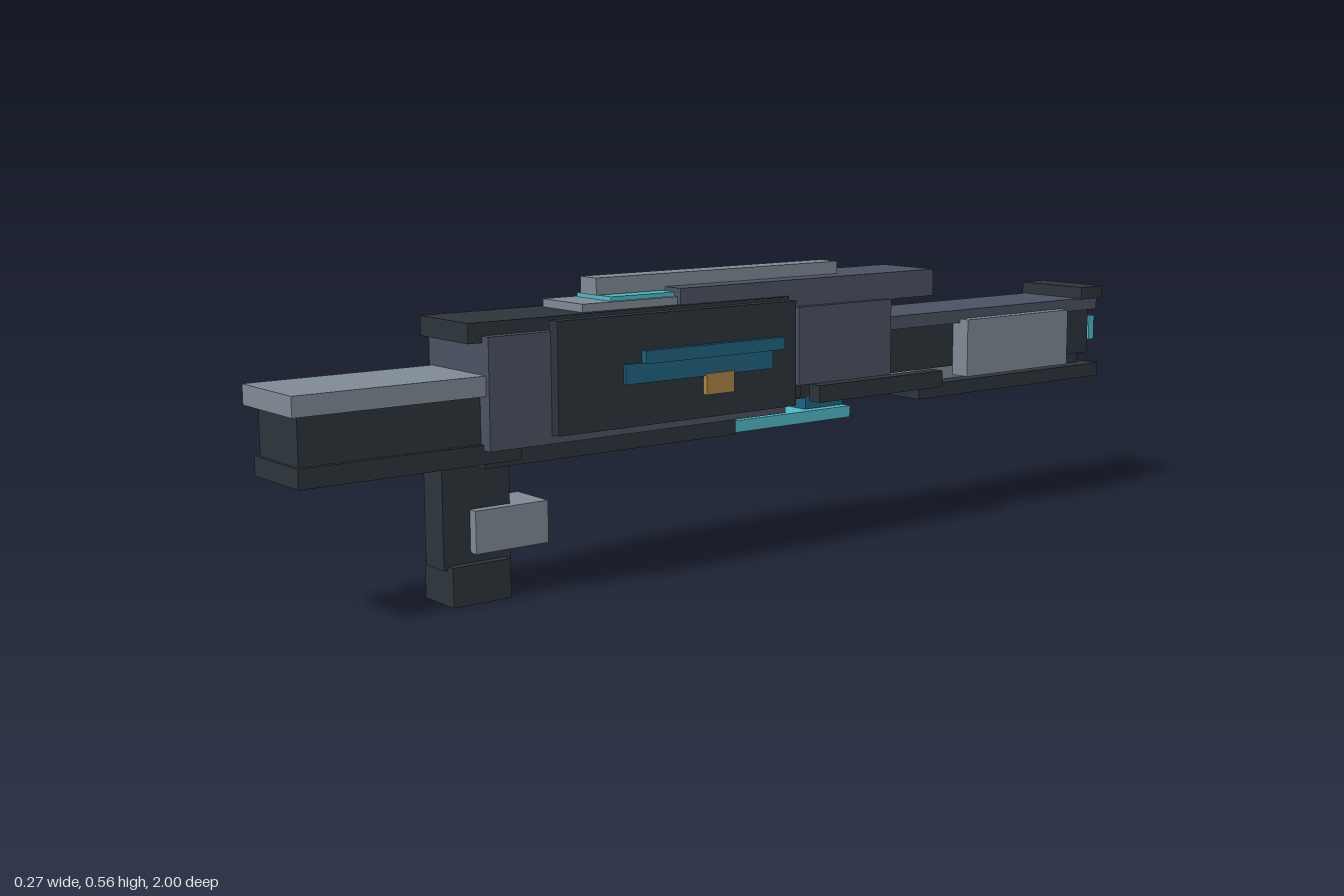
import * as THREE from 'three';

const mat = (name, color) => Object.assign(new THREE.MeshStandardMaterial({ color }), { name });

export function createModel() {
  const dark = mat('charcoal', 0x2d353b);
  const slate = mat('slate', 0x4b5262);
  const light = mat('light grey', 0x808b95);
  const cyan = mat('cyan', 0x52b9c9);
  const teal = mat('deep teal', 0x206382);
  const amber = mat('amber', 0xad8448);
  const model = new THREE.Group();
  model.name = 'blaster';

  // Box given by its extents along each axis
  function box(name, m, [x0, x1], [y0, y1], [z0, z1]) {
    const mesh = new THREE.Mesh(new THREE.BoxGeometry(x1 - x0, y1 - y0, z1 - z0), m);
    mesh.position.set((x0 + x1) / 2, (y0 + y1) / 2, (z0 + z1) / 2);
    mesh.name = name;
    model.add(mesh);
  }
  const mid = (name, m, w, y, z) => box(name, m, [-w, w], y, z);
  const pair = (name, m, [a, b], y, z) => {
    box(name + 'Left', m, [a, b], y, z);
    box(name + 'Right', m, [-b, -a], y, z);
  };

  // Front section
  mid('frontTopPlate', light, 0.09, [0.376, 0.412], [0.6, 1]);
  mid('frontCore', dark, 0.07, [0.288, 0.376], [0.6, 0.982]);
  mid('frontBottomPlate', dark, 0.08, [0.255, 0.29], [0.56, 0.988]);

  // Main body
  mid('body', slate, 0.1, [0.28, 0.48], [-0.035, 0.636]);
  mid('bodyCore', dark, 0.07, [0.3, 0.481], [-0.1, 0]);
  mid('lowerRail', dark, 0.075, [0.246, 0.285], [0.07, 0.632]);
  mid('topCover', dark, 0.08, [0.468, 0.504], [-0.06, 0.664]);
  pair('sidePanel', dark, [0.095, 0.121], [0.296, 0.5], [-0.043, 0.508]);
  pair('sideStripeLower', teal, [0.12, 0.127], [0.375, 0.412], [0.02, 0.366]);
  pair('sideStripeUpper', teal, [0.12, 0.133], [0.41, 0.434], [-0.005, 0.325]);
  pair('sideButton', amber, [0.12, 0.131], [0.34, 0.38], [0.118, 0.184]);

  // Top housing and sight
  mid('upperHousing', slate, 0.073, [0.48, 0.535], [-0.46, 0.2]);
  mid('sightBase', light, 0.064, [0.503, 0.519], [0.18, 0.415]);
  mid('sightGlow', cyan, 0.054, [0.519, 0.527], [0.18, 0.345]);
  mid('sightRail', light, 0.025, [0.528, 0.56], [-0.235, 0.357]);

  // Receiver behind the body
  mid('receiver', slate, 0.087, [0.328, 0.482], [-0.328, -0.08]);
  pair('receiverLedge', dark, [0.085, 0.115], [0.294, 0.328], [-0.45, -0.11]);
  box('chargingHandle', light, [-0.12, -0.08], [0.4, 0.428], [-0.2, -0.075]);

  // Glowing plate underneath
  mid('underGlow', cyan, 0.07, [0.248, 0.271], [-0.232, 0.127]);
  mid('underGlowMount', teal, 0.05, [0.27, 0.296], [-0.23, -0.13]);
  mid('underCore', dark, 0.05, [0.294, 0.33], [-0.3, -0.03]);

  // Rear section
  mid('rearTopPlate', slate, 0.08, [0.418, 0.445], [-0.97, -0.32]);
  mid('rearCore', dark, 0.06, [0.325, 0.42], [-0.87, -0.32]);
  mid('rearInnerStrip', light, 0.045, [0.294, 0.326], [-0.87, -0.44]);
  mid('rearBottomPlate', dark, 0.082, [0.267, 0.296], [-0.977, -0.415]);
  pair('rearSidePlate', light, [0.06, 0.103], [0.306, 0.426], [-0.848, -0.535]);
  mid('rearBlock', dark, 0.067, [0.32, 0.419], [-0.957, -0.868]);
  mid('rearPost', dark, 0.045, [0.29, 0.33], [-0.95, -0.86]);
  mid('rearCap', dark, 0.087, [0.443, 0.47], [-0.98, -0.91]);
  mid('rearLamp', cyan, 0.04, [0.343, 0.4], [-0.985, -0.95]);
  mid('rearLampLens', cyan, 0.049, [0.345, 0.399], [-1, -0.983]);

  // Front grip
  mid('grip', dark, 0.031, [0.065, 0.257], [0.555, 0.693]);
  mid('gripFoot', dark, 0.048, [0, 0.072], [0.566, 0.685]);
  mid('gripBlock', light, 0.05, [0.09, 0.168], [0.486, 0.638]);

  return model;
}
